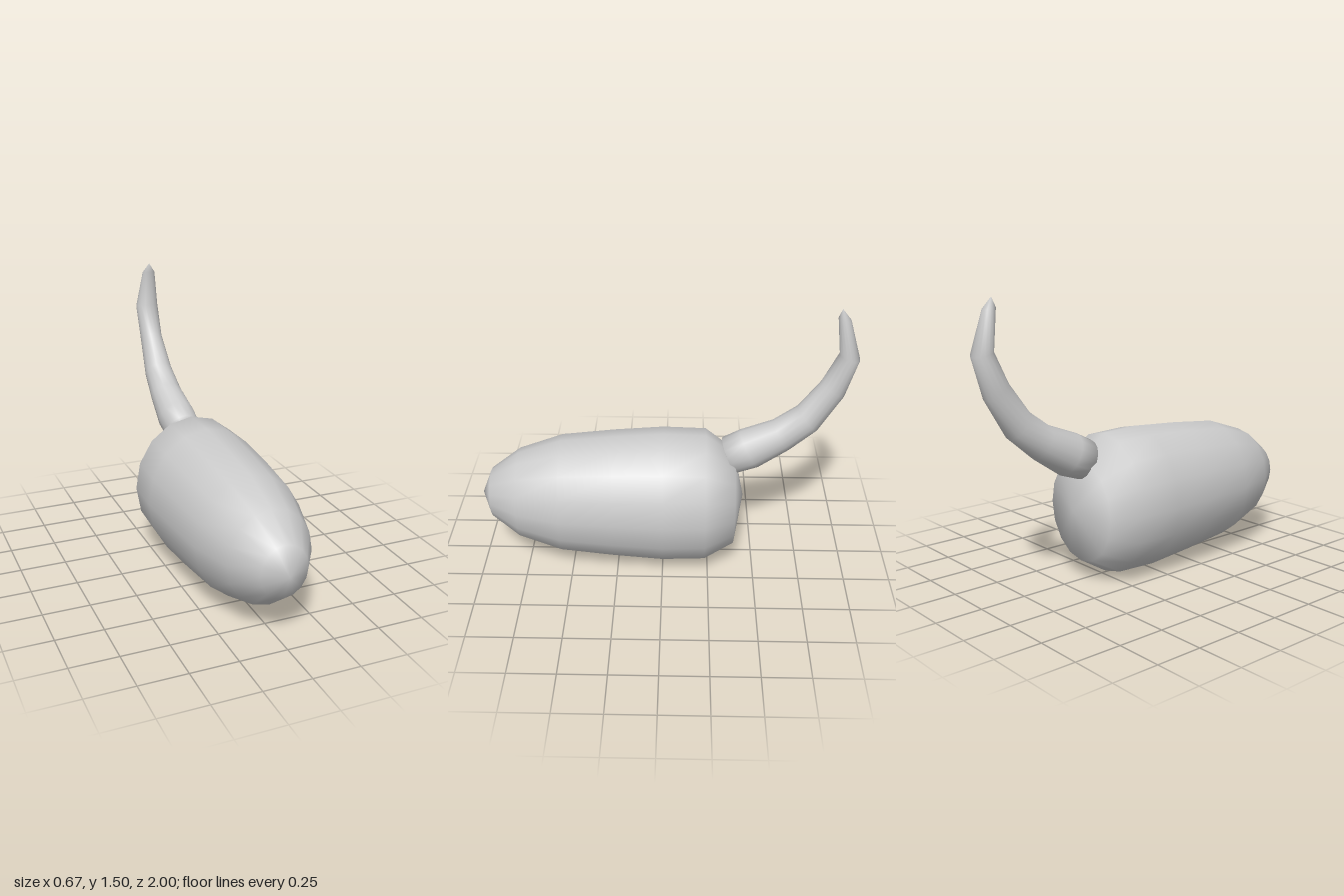
import * as THREE from 'three';

// Smooth closed skin through elliptical rings, with a point at each end.
// Ring: [topZ, topY, bottomZ, bottomY, half width]; ends: [z, y].
function loft(name, start, rings, end, sides) {
  const pos = [0, start[1], start[0]];
  const index = [];
  for (const [tz, ty, bz, by, rx] of rings) {
    for (let j = 0; j < sides; j++) {
      const a = (j / sides) * Math.PI * 2;
      const c = Math.cos(a) / 2;
      pos.push(rx * Math.sin(a), (ty + by) / 2 + (ty - by) * c, (tz + bz) / 2 + (tz - bz) * c);
    }
  }
  pos.push(0, end[1], end[0]);
  const last = rings.length * sides + 1;
  const at = (i, j) => 1 + i * sides + (j % sides);
  for (let j = 0; j < sides; j++) {
    index.push(0, at(0, j + 1), at(0, j));
    for (let i = 0; i < rings.length - 1; i++) {
      index.push(at(i, j), at(i, j + 1), at(i + 1, j));
      index.push(at(i, j + 1), at(i + 1, j + 1), at(i + 1, j));
    }
    index.push(at(rings.length - 1, j), at(rings.length - 1, j + 1), last);
  }
  const geometry = new THREE.BufferGeometry();
  geometry.setAttribute('position', new THREE.Float32BufferAttribute(pos, 3));
  geometry.setIndex(index);
  geometry.computeVertexNormals();
  const mesh = new THREE.Mesh(geometry, new THREE.MeshStandardMaterial({ color: 0xcccccc }));
  mesh.name = name;
  return mesh;
}

export function createModel() {
  const group = new THREE.Group();
  group.name = 'tailedBody';

  // Body: upright rings from the pointed nose to the blunt rump
  const bodyRings = [
    // z, bottom, top, half width
    [0.945, 0.25, 0.53, 0.125],
    [0.79, 0.132, 0.645, 0.225],
    [0.555, 0.054, 0.725, 0.295],
    [0.27, 0.025, 0.755, 0.32],
    [0, 0.003, 0.775, 0.335],
    [-0.23, 0.012, 0.768, 0.33],
    [-0.388, 0.107, 0.648, 0.245],
  ].map(([z, bottom, top, rx]) => [z, top, z, bottom, rx]);
  group.add(loft('body', [1, 0.39], bodyRings, [-0.44, 0.39], 16));

  // Tail: tilted rings following the upward curl
  const tailRings = [
    [-0.315, 0.745, -0.4, 0.55, 0.1],
    [-0.41, 0.795, -0.515, 0.59, 0.105],
    [-0.58, 0.86, -0.675, 0.7, 0.09],
    [-0.705, 0.95, -0.815, 0.82, 0.079],
    [-0.815, 1.1, -0.94, 1.025, 0.062],
    [-0.895, 1.26, -1, 1.235, 0.065],
    [-0.87, 1.46, -0.935, 1.45, 0.035],
  ];
  group.add(loft('tail', [-0.34, 0.64], tailRings, [-0.888, 1.508], 16));

  return group;
}
